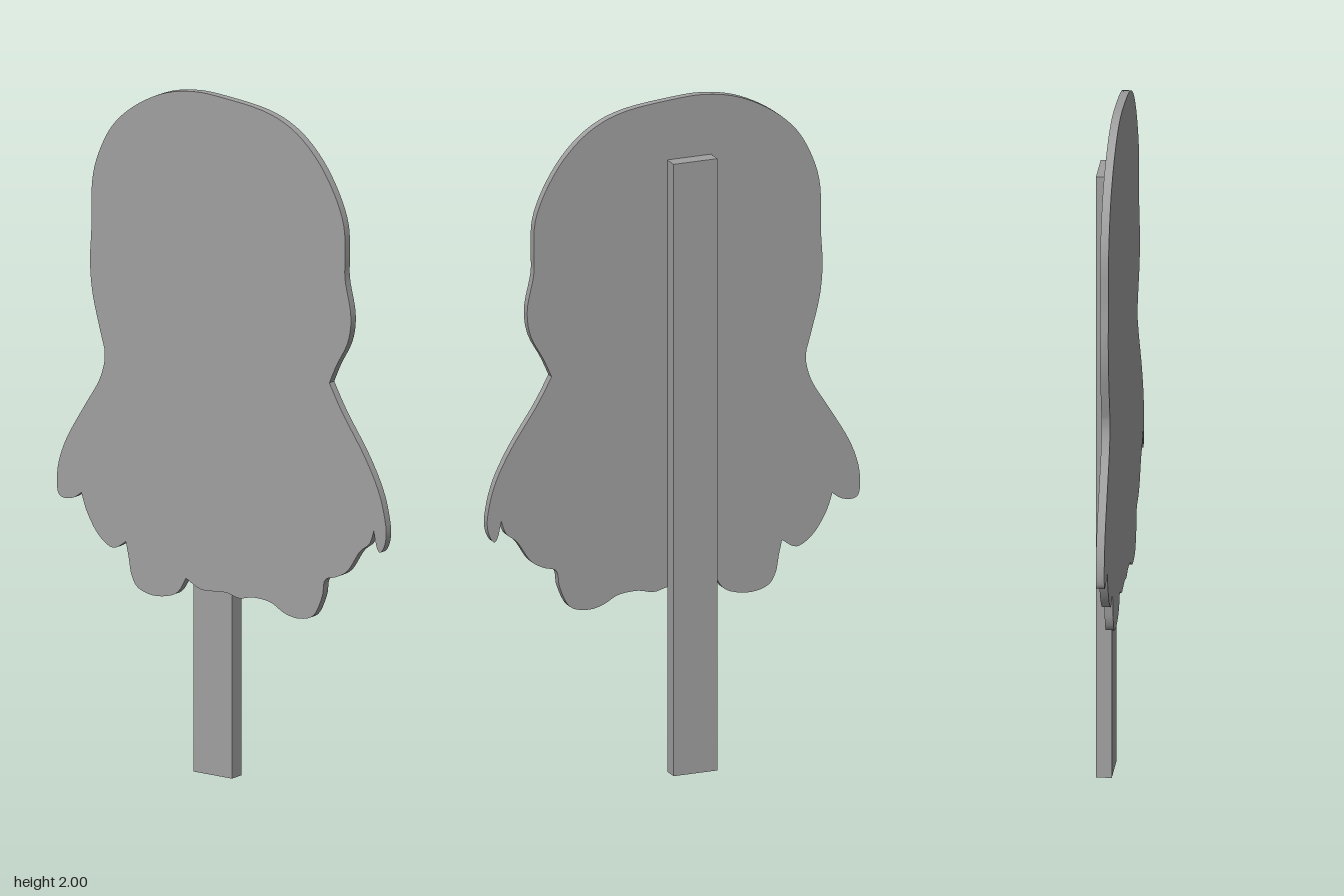
import * as THREE from 'three';
import { toCreasedNormals } from 'three/addons/utils/BufferGeometryUtils.js';

// Outline runs, clockwise; each run is smooth and meets the next at a corner
const head = [[-0.43, 1.27], [-0.452, 1.36], [-0.46, 1.45], [-0.455, 1.55], [-0.453, 1.68], [-0.43, 1.77],
  [-0.38, 1.86], [-0.3, 1.93], [-0.2, 1.98], [-0.1, 2], [0, 1.998], [0.15, 1.98], [0.25, 1.94], [0.33, 1.87],
  [0.39, 1.78], [0.425, 1.69], [0.43, 1.6], [0.43, 1.53], [0.45, 1.43], [0.44, 1.35], [0.4, 1.275], [0.375, 1.22]];
const leftSide = [[0.42, 1.14], [0.5, 1.02], [0.55, 0.92], [0.572, 0.83], [0.57, 0.78], [0.553, 0.75],
  [0.54, 0.765], [0.53, 0.81]];
const hem = [[0.515, 0.77], [0.48, 0.74], [0.44, 0.68], [0.4, 0.655], [0.36, 0.64], [0.35, 0.59], [0.32, 0.53],
  [0.27, 0.513], [0.22, 0.52], [0.17, 0.545], [0.11, 0.55], [0.06, 0.54], [0.01, 0.55], [-0.07, 0.545], [-0.125, 0.57]];
const lowerLock = [[-0.16, 0.52], [-0.23, 0.502], [-0.29, 0.515], [-0.315, 0.55], [-0.325, 0.6], [-0.335, 0.645]];
const middleLock = [[-0.38, 0.62], [-0.43, 0.65], [-0.47, 0.71], [-0.49, 0.765]];
const rightSide = [[-0.52, 0.745], [-0.56, 0.742], [-0.575, 0.77], [-0.57, 0.84], [-0.54, 0.92], [-0.48, 1.02],
  [-0.43, 1.1], [-0.41, 1.16], [-0.41, 1.2]];

export function createModel() {
  const group = new THREE.Group();
  const grey = new THREE.MeshStandardMaterial({ color: 0xa0a0a0 });
  grey.name = 'plain grey';

  // Flat silhouette board
  const outline = new THREE.Shape().moveTo(-0.41, 1.2);
  for (const run of [head, leftSide, hem, lowerLock, middleLock, rightSide]) {
    outline.splineThru(run.map(([x, y]) => new THREE.Vector2(x, y)));
  }
  const boardGeometry = new THREE.ExtrudeGeometry(outline, { depth: 0.024, bevelEnabled: false, curveSegments: 4 });
  boardGeometry.translate(0, 0, 0.01);
  const board = new THREE.Mesh(toCreasedNormals(boardGeometry, 0.6), grey);
  board.name = 'silhouetteBoard';
  group.add(board);

  // Handle fixed to the back of the board
  const stick = new THREE.Mesh(new THREE.BoxGeometry(0.135, 1.82, 0.045), grey);
  stick.position.set(-0.049, 0.91, -0.0125);
  stick.name = 'stick';
  group.add(stick);

  return group;
}
